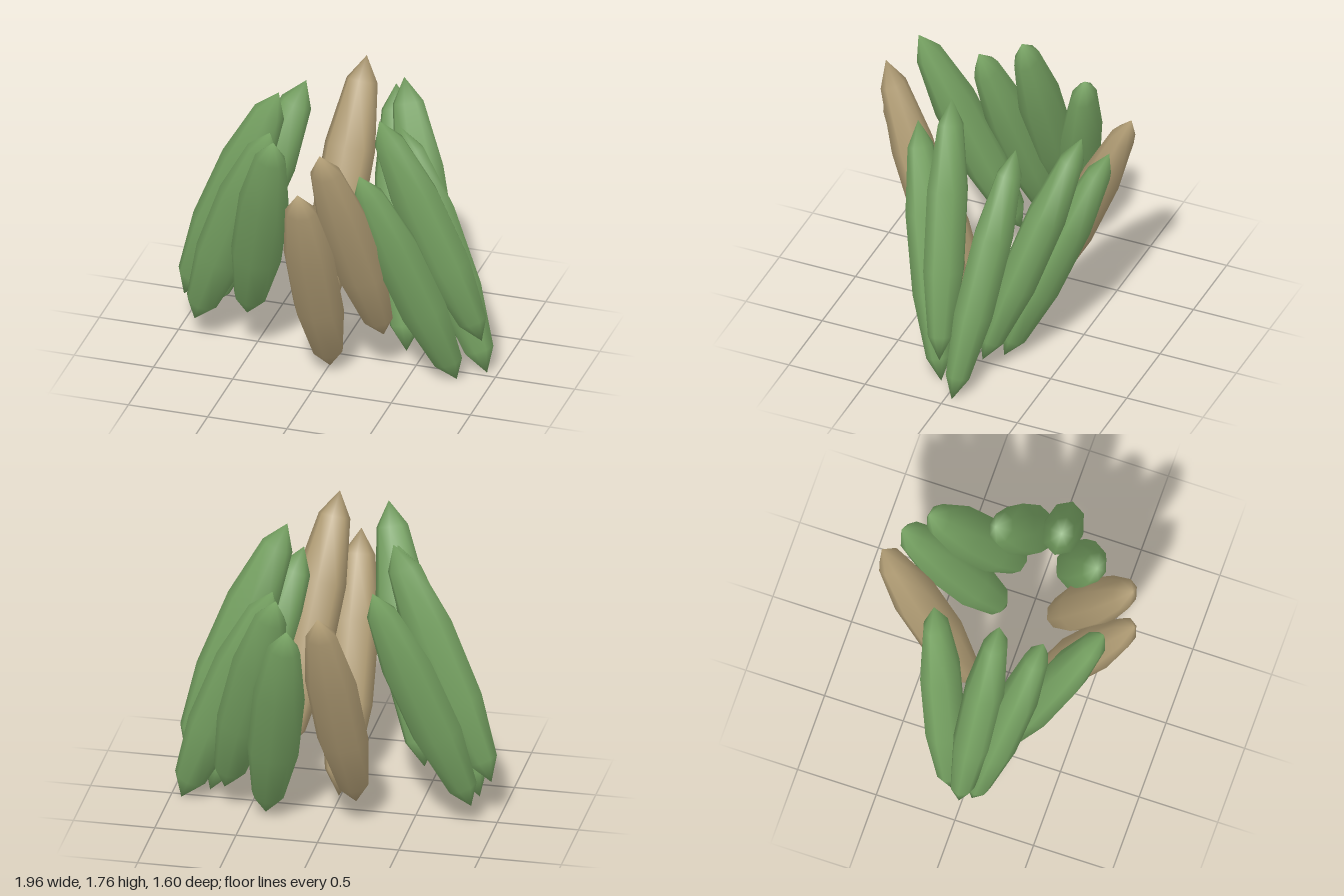
import * as THREE from 'three';

const green = new THREE.MeshStandardMaterial({ color: 0x76a262 });
green.name = 'leaf green';
const tan = new THREE.MeshStandardMaterial({ color: 0xb09c74 });
tan.name = 'dry tan';

// Three tiers of leaves: height of the lower tip, angles around the ring, index of the dry leaf
const tiers = [
  { y: 0.005, angles: [-66, -14.5, 35.5, 89.5], dry: 3 },
  { y: 0.135, angles: [155.6, 207.5, 260, 312.5], dry: 2 },
  { y: 0.265, angles: [16, 69.2, 123, 175.7], dry: 1 },
];
const RISE = 1.5;

export function createModel() {
  const group = new THREE.Group();
  group.name = 'leafCluster';

  // Slender, slightly flattened low-poly spindle with pointed ends
  const leaf = new THREE.SphereGeometry(1, 8, 5);
  leaf.scale(0.167, 0.81, 0.128);
  const up = new THREE.Vector3(0, 1, 0);

  tiers.forEach(({ y, angles, dry }, t) => {
    angles.forEach((deg, i) => {
      const a = THREE.MathUtils.degToRad(deg);
      // Tips lie on a wide ellipse below and a deep one above
      const low = new THREE.Vector3(0.965 * Math.cos(a), y, 0.16 * Math.sin(a));
      const high = new THREE.Vector3(0.35 * Math.cos(a), y + RISE, 0.8 * Math.sin(a));
      const mesh = new THREE.Mesh(leaf, i === dry ? tan : green);
      mesh.name = `${i === dry ? 'dryLeaf' : 'leaf'}Tier${t + 1}No${i + 1}`;
      mesh.position.copy(low).add(high).multiplyScalar(0.5);
      mesh.quaternion.setFromUnitVectors(up, high.sub(low).normalize());
      group.add(mesh);
    });
  });
  return group;
}
